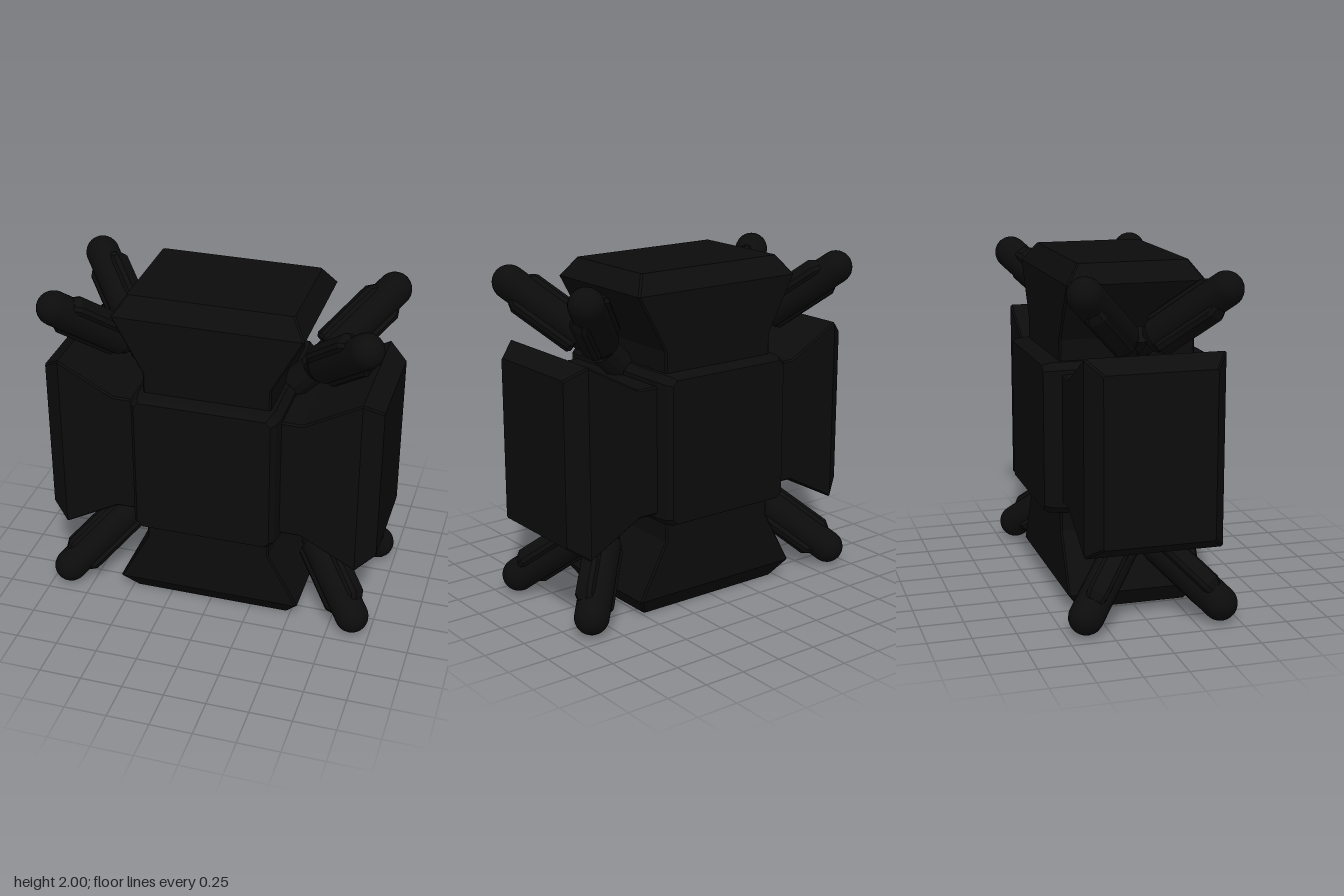
import * as THREE from 'three';

const shell = new THREE.MeshStandardMaterial({ color: 0x0c0c0c });
shell.name = 'black shell';
shell.flatShading = true;
const smooth = new THREE.MeshStandardMaterial({ color: 0x0c0c0c });
smooth.name = 'black smooth';

// Solid lofted along y through chamfered rectangles: [y, halfWidth, halfDepth, chamfer]
function loft(sections) {
  const rings = sections.map(([y, w, d, c]) => [
    [w, d - c], [w - c, d], [c - w, d], [-w, d - c],
    [-w, c - d], [c - w, -d], [w - c, -d], [w, c - d],
  ].map(([x, z]) => [x, y, z]));
  const pos = [];
  const tri = (...pts) => pts.forEach((p) => pos.push(...p));
  for (let k = 0; k < rings.length - 1; k++) {
    for (let i = 0; i < 8; i++) {
      const j = (i + 1) % 8, lo = rings[k], hi = rings[k + 1];
      tri(lo[i], hi[i], lo[j]);
      tri(lo[j], hi[i], hi[j]);
    }
  }
  const bottom = rings[0], top = rings[rings.length - 1];
  for (let i = 1; i < 7; i++) {
    tri(bottom[0], bottom[i], bottom[i + 1]);
    tri(top[0], top[i + 1], top[i]);
  }
  const geo = new THREE.BufferGeometry();
  geo.setAttribute('position', new THREE.Float32BufferAttribute(pos, 3));
  geo.computeVertexNormals();
  return geo;
}

function add(parent, name, geo, mat) {
  const mesh = new THREE.Mesh(geo, mat);
  mesh.name = name;
  parent.add(mesh);
  return mesh;
}

export function createModel() {
  const model = new THREE.Group();
  model.name = 'armouredCore';
  const core = new THREE.Group();
  core.name = 'core';
  core.position.y = 1;
  model.add(core);

  // Central block with bevelled front and back
  const body = add(core, 'centreBlock', loft([
    [-0.5, 0.4, 0.42, 0.03], [-0.47, 0.425, 0.435, 0.04], [-0.39, 0.44, 0.44, 0.04],
    [0.39, 0.44, 0.44, 0.04], [0.47, 0.425, 0.435, 0.04], [0.5, 0.4, 0.42, 0.03],
  ]), shell);
  body.rotation.x = Math.PI / 2;

  // Four flared arms
  const armGeo = loft([
    [0.3, 0.375, 0.4, 0.01], [0.56, 0.375, 0.4, 0.01],
    [0.89, 0.555, 0.4, 0.01], [1, 0.48, 0.32, 0.01],
  ]);
  ['topArm', 'leftArm', 'bottomArm', 'rightArm'].forEach((name, i) => {
    add(core, name, armGeo, shell).rotation.z = -i * Math.PI / 2;
  });

  // Rod: neck, collar, barrel and domed tip
  const profile = [[0, 0], [0.06, 0], [0.06, 0.13], [0.085, 0.135], [0.085, 0.17], [0.1, 0.175]]
    .map(([r, y]) => new THREE.Vector2(r, y));
  for (let i = 0; i <= 8; i++) {
    const a = i / 8 * Math.PI / 2;
    profile.push(new THREE.Vector2(i === 8 ? 0 : 0.1 * Math.cos(a), 0.675 + 0.1 * Math.sin(a)));
  }
  const rodGeo = new THREE.LatheGeometry(profile, 24);
  const finGeo = loft([
    [0.17, 0.11, 0.05, 0.02], [0.19, 0.125, 0.06, 0.02],
    [0.57, 0.125, 0.06, 0.02], [0.61, 0.1, 0.05, 0.02],
  ]);
  const hubGeo = new THREE.CylinderGeometry(0.09, 0.09, 0.3, 12);
  const plugGeo = new THREE.CylinderGeometry(0.055, 0.055, 0.3, 12);

  // Each corner has a hub and a pair of rods splayed to front and back
  for (const sx of [1, -1]) for (const sy of [1, -1]) {
    const hub = new THREE.Group();
    hub.name = 'cornerHub';
    hub.quaternion.setFromUnitVectors(new THREE.Vector3(0, 1, 0), new THREE.Vector3(sx, sy, 0).normalize());
    add(hub, 'hubSocket', hubGeo, shell).position.y = 0.58;
    add(hub, 'hubPlug', plugGeo, shell).position.y = 0.72;
    core.add(hub);

    for (const sz of [1, -1]) {
      const rod = new THREE.Group();
      rod.name = sz > 0 ? 'frontRod' : 'backRod';
      const axis = new THREE.Vector3(sx, sy, sz).normalize();
      const side = new THREE.Vector3(sy, -sx, 0).normalize();
      const depth = side.clone().cross(axis);
      rod.quaternion.setFromRotationMatrix(new THREE.Matrix4().makeBasis(side, axis, depth));
      rod.position.set(sx * 0.5, sy * 0.5, 0);
      add(rod, 'rodBarrel', rodGeo, smooth);
      add(rod, 'rodSideFins', finGeo, shell);
      core.add(rod);
    }
  }
  return model;
}
